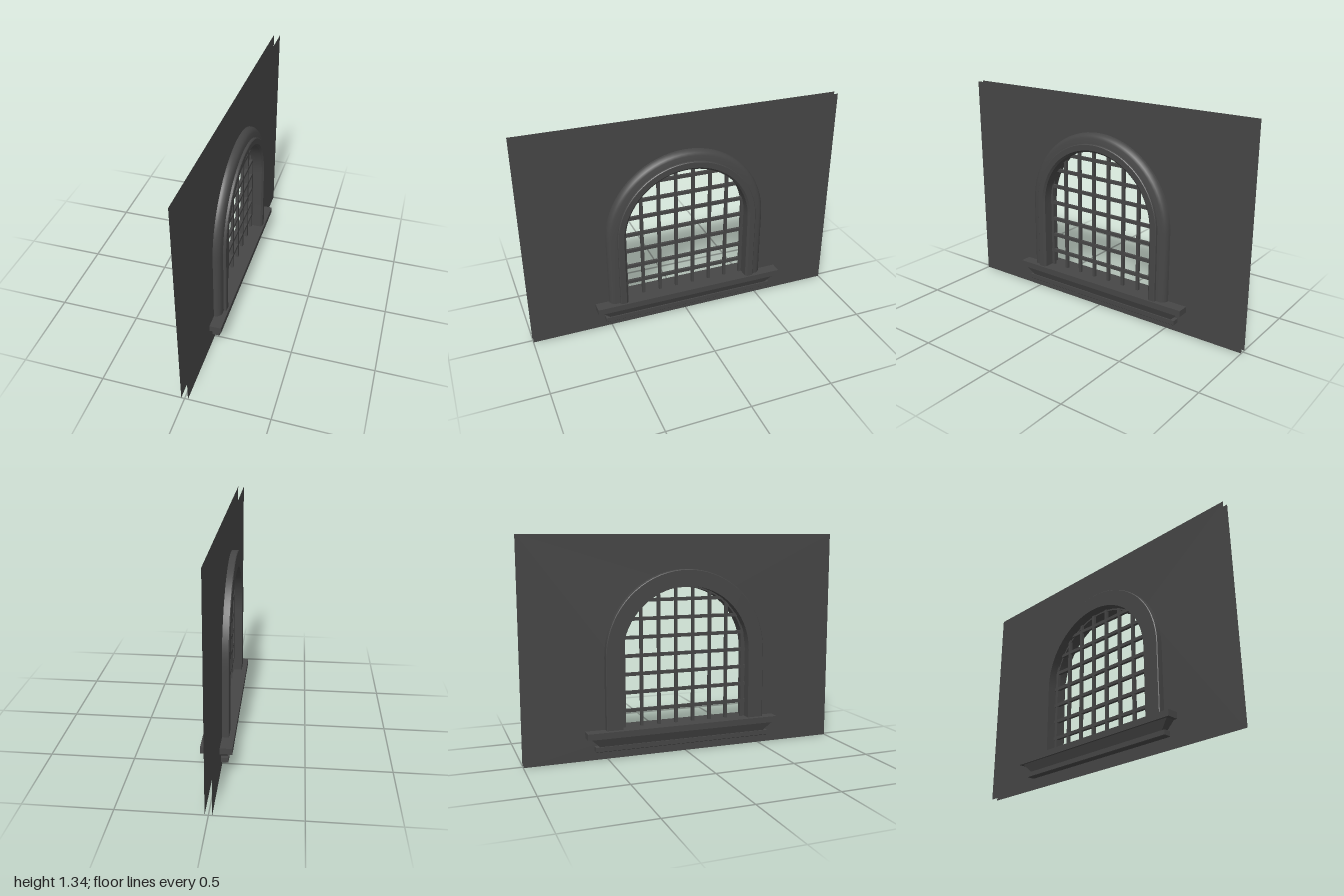
import * as THREE from 'three';
import { toCreasedNormals } from 'three/addons/utils/BufferGeometryUtils.js';

const SPRING = 0.616; // height where the straight jambs turn into the arch
const DARK = 0x464646;
const material = new THREE.MeshStandardMaterial({ color: DARK });
const sheetMaterial = new THREE.MeshStandardMaterial({ color: DARK, side: THREE.DoubleSide });

function add(parent, name, geometry, x = 0, y = 0, z = 0, mat = material) {
  const mesh = new THREE.Mesh(geometry, mat);
  mesh.name = name;
  mesh.position.set(x, y, z);
  parent.add(mesh);
}

// Sweeps a closed [radius, x] profile up one jamb, round the arch and down the other
function archSweep(profile, bottom, segments = 36) {
  const stations = [[0, bottom]];
  for (let j = 0; j <= segments; j++) stations.push([Math.PI * j / segments, SPRING]);
  stations.push([Math.PI, bottom]);
  const positions = [], index = [], n = profile.length;
  for (const [a, y] of stations) {
    for (const [r, x] of profile) positions.push(x, y + r * Math.sin(a), r * Math.cos(a));
  }
  for (let j = 0; j < stations.length - 1; j++) {
    for (let i = 0; i < n; i++) {
      const k = (i + 1) % n;
      const p = j * n + i, q = j * n + k;
      index.push(p, q, q + n, p, q + n, p + n);
    }
  }
  const g = new THREE.BufferGeometry();
  g.setAttribute('position', new THREE.Float32BufferAttribute(positions, 3));
  g.setIndex(index);
  return toCreasedNormals(g, Math.PI / 5);
}

// Box whose bottom face is narrowed to its own size
function taperedBox(topX, topZ, bottomX, bottomZ, height) {
  const g = new THREE.BoxGeometry(topX, height, topZ);
  const p = g.attributes.position;
  for (let i = 0; i < p.count; i++) {
    if (p.getY(i) < 0) {
      p.setX(i, p.getX(i) * bottomX / topX);
      p.setZ(i, p.getZ(i) * bottomZ / topZ);
    }
  }
  g.computeVertexNormals();
  return g;
}

export function createModel() {
  const model = new THREE.Group();
  model.name = 'barredWindow';

  // Two thin wall sheets with an arched opening
  const wall = new THREE.Shape();
  wall.moveTo(-1, 0).lineTo(1, 0).lineTo(1, 1.335).lineTo(-1, 1.335).closePath();
  const hole = new THREE.Path();
  hole.moveTo(0.46, 0.12).lineTo(0.46, SPRING);
  hole.absarc(0, SPRING, 0.46, 0, Math.PI, false);
  hole.lineTo(-0.46, 0.12).closePath();
  wall.holes.push(hole);
  for (const side of [1, -1]) {
    const g = new THREE.ShapeGeometry(wall, 32).rotateY(side * Math.PI / 2);
    add(model, side > 0 ? 'outerWall' : 'innerWall', g, side * 0.02, 0, 0, sheetMaterial);
  }

  // Arched surround, rounded on its outer front edge, with a raised inner moulding
  add(model, 'archFrame', archSweep([
    [0.41, -0.06], [0.507, -0.06], [0.511, -0.056], [0.511, 0.03],
    [0.507, 0.043], [0.497, 0.055], [0.482, 0.063], [0.41, 0.063],
  ], 0.16));
  add(model, 'innerMoulding', archSweep([
    [0.4, 0], [0.45, 0], [0.45, 0.076], [0.446, 0.08], [0.412, 0.08], [0.4, 0.068],
  ], 0.16));

  // Sill: top slab, sloped neck and foot with a small bevel underneath
  const sill = new THREE.Group();
  sill.name = 'sill';
  sill.position.z = -0.018;
  add(sill, 'sillSlab', new THREE.BoxGeometry(0.182, 0.038, 1.232), 0, 0.161);
  add(sill, 'sillNeck', taperedBox(0.156, 1.186, 0.112, 1.07, 0.057), 0, 0.1135);
  add(sill, 'sillFoot', new THREE.BoxGeometry(0.128, 0.028, 1.125), 0, 0.073);
  add(sill, 'sillFootBevel', taperedBox(0.128, 1.125, 0.122, 1.119, 0.003), 0, 0.0575);
  model.add(sill);

  // Grid of iron bars; the outermost ends just pierce the surround
  const bars = new THREE.Group();
  bars.name = 'bars';
  for (let i = 0; i < 8; i++) {
    const z = (i - 3.5) * 0.111;
    const outermost = i === 0 || i === 7;
    const top = outermost ? 0.962 : SPRING + Math.sqrt(0.44 ** 2 - z * z);
    add(bars, 'verticalBar', new THREE.BoxGeometry(0.018, top - 0.17, 0.018), 0, (top + 0.17) / 2, z);
  }
  for (let i = 0; i < 7; i++) {
    const half = i === 6 ? 0.397 : 0.42;
    add(bars, 'horizontalBar', new THREE.BoxGeometry(0.018, 0.02, half * 2), 0, 0.28 + i * 0.111);
  }
  model.add(bars);
  return model;
}
